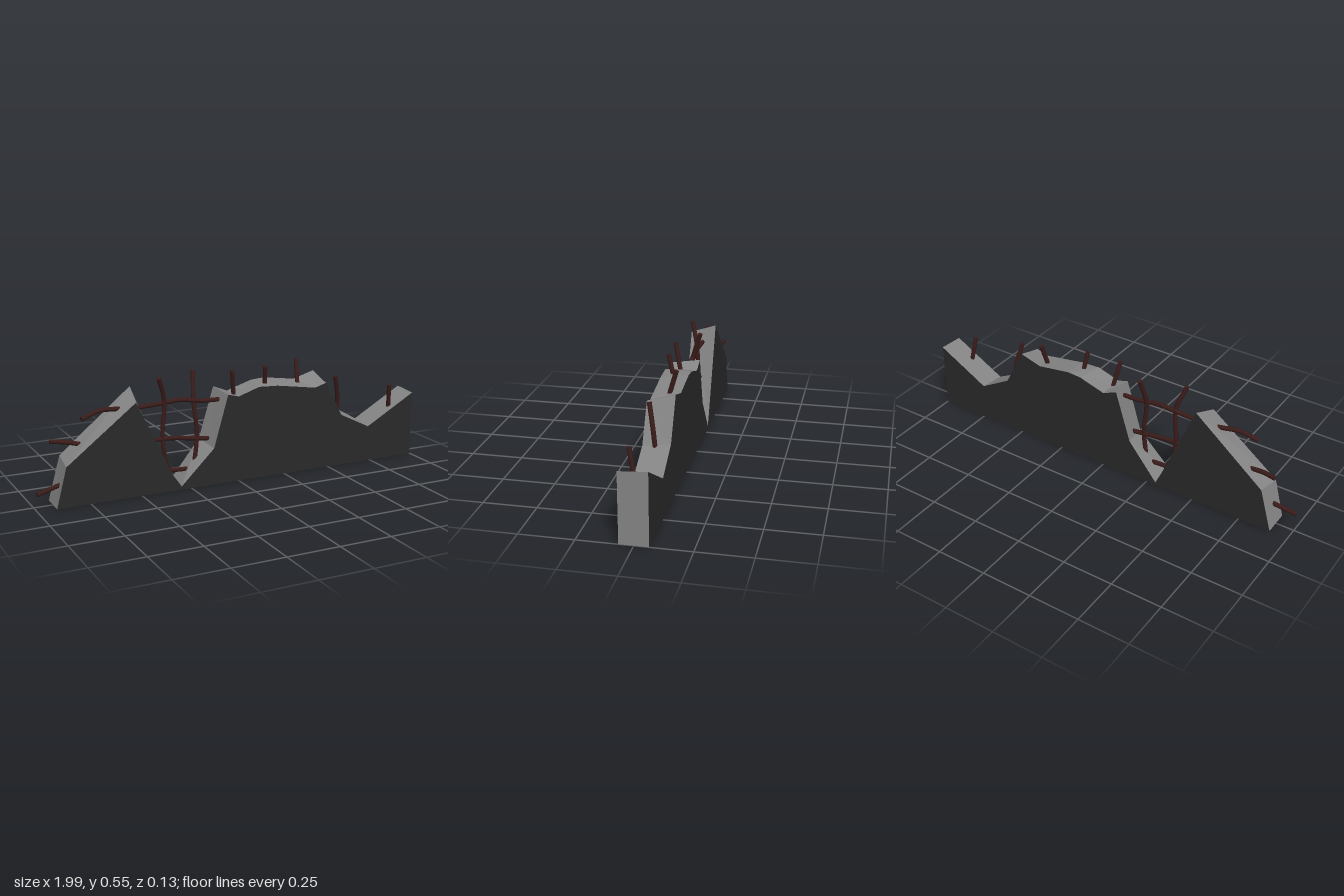
import * as THREE from 'three';

const HALF = 0.065;

// Broken outline of the wall on its front and back faces (same point count)
const FRONT = [[-0.91, 0], [-0.86, 0.19], [-0.52, 0.45], [-0.345, 0.08], [-0.3, 0.015], [-0.13, 0.18],
  [-0.055, 0.435], [0, 0.42], [0.11, 0.455], [0.21, 0.45], [0.42, 0.417], [0.48, 0.435],
  [0.575, 0.26], [0.735, 0.18], [1, 0.328], [1, 0]];
const BACK = [[-0.91, 0], [-0.85, 0.21], [-0.5, 0.497], [-0.33, 0.08], [-0.3, 0.015], [-0.15, 0.2],
  [-0.073, 0.45], [0, 0.42], [0.13, 0.46], [0.2, 0.465], [0.37, 0.44], [0.48, 0.472],
  [0.58, 0.28], [0.74, 0.19], [1, 0.336], [1, 0]];

// Reinforcing bars: lists of x, y, z points
const BARS = {
  meshBar: [
    [[-0.395, 0.545, 0.035], [-0.357, 0.425, 0.005], [-0.367, 0.25, 0], [-0.345, 0.1, 0], [-0.33, 0.075, 0]],
    [[-0.188, 0.545, -0.045], [-0.204, 0.41, -0.005], [-0.19, 0.24, 0], [-0.21, 0.07, 0]],
    [[-0.49, 0.408, 0], [-0.38, 0.414, 0], [-0.27, 0.42, 0], [-0.17, 0.404, 0], [-0.07, 0.4, 0]],
    [[-0.41, 0.242, 0], [-0.33, 0.24, 0], [-0.22, 0.226, 0], [-0.13, 0.214, 0]],
    [[-0.35, 0.082, 0], [-0.23, 0.076, 0]],
  ],
  sideBar: [
    [[-0.77, 0.395, 0.033], [-0.68, 0.42, 0.018], [-0.61, 0.416, 0.005], [-0.55, 0.408, 0]],
    [[-0.9, 0.287, -0.045], [-0.83, 0.28, -0.025], [-0.75, 0.262, -0.01]],
    [[-0.99, 0.07, 0.032], [-0.86, 0.1, 0.012]],
  ],
  topBar: [
    [[-0.026, 0.545, 0.045], [0, 0.4, 0.012]],
    [[0.155, 0.545, 0.038], [0.168, 0.43, 0.01]],
    [[0.371, 0.545, -0.045], [0.36, 0.42, -0.008]],
    [[0.55, 0.457, 0.037], [0.58, 0.34, 0.014], [0.58, 0.25, 0.005]],
    [[0.867, 0.38, 0.048], [0.885, 0.24, 0.02]],
  ],
};

function face(profile, z, material, name) {
  const geo = new THREE.ShapeGeometry(new THREE.Shape(profile.map(p => new THREE.Vector2(...p))));
  if (z < 0) geo.rotateY(Math.PI).scale(1, 1, 1);
  const mesh = new THREE.Mesh(geo, material);
  mesh.position.z = z;
  mesh.name = name;
  return mesh;
}

// Flat quads joining front and back outlines from point index a to b
function strip(a, b, material, name) {
  const pos = [];
  for (let i = a; i < b; i++) {
    const j = (i + 1) % FRONT.length;
    const f0 = [...FRONT[i], HALF], f1 = [...FRONT[j], HALF];
    const b0 = [...BACK[i], -HALF], b1 = [...BACK[j], -HALF];
    pos.push(...f0, ...f1, ...b1, ...f0, ...b1, ...b0);
  }
  const geo = new THREE.BufferGeometry();
  geo.setAttribute('position', new THREE.Float32BufferAttribute(pos, 3));
  geo.computeVertexNormals();
  const mesh = new THREE.Mesh(geo, material);
  mesh.name = name;
  return mesh;
}

// Round bar following straight segments, with closed ends
function bar(points, material, name) {
  const group = new THREE.Group();
  group.name = name;
  const pts = points.map(p => new THREE.Vector3(...p));
  const path = pts.length > 2 ? new THREE.CatmullRomCurve3(pts, false, 'centripetal') : new THREE.LineCurve3(pts[0], pts[1]);
  group.add(new THREE.Mesh(new THREE.TubeGeometry(path, (pts.length - 1) * 4, 0.011, 8), material));
  for (const t of [0, 1]) {
    const cap = new THREE.Mesh(new THREE.CircleGeometry(0.011, 8), material);
    const dir = path.getTangentAt(t).multiplyScalar(t ? 1 : -1);
    cap.position.copy(path.getPointAt(t));
    cap.quaternion.setFromUnitVectors(new THREE.Vector3(0, 0, 1), dir);
    group.add(cap);
  }
  return group;
}

export function createModel() {
  const model = new THREE.Group();
  model.name = 'brokenWall';
  const dark = new THREE.MeshStandardMaterial({ color: 0x2a2a2a, flatShading: true });
  const concrete = new THREE.MeshStandardMaterial({ color: 0x858585, flatShading: true });
  const rust = new THREE.MeshStandardMaterial({ color: 0x3a1c1a });

  // Wall faces; the back outline is mirrored so the half turn restores it
  model.add(face(FRONT, HALF, dark, 'frontFace'));
  model.add(face(BACK.map(([x, y]) => [-x, y]), -HALF, dark, 'backFace'));

  // Fractured edge and underside
  const last = FRONT.length - 1;
  model.add(strip(0, last, concrete, 'brokenEdge'));
  model.add(strip(last, last + 1, dark, 'underside'));

  // Exposed bars
  for (const [name, list] of Object.entries(BARS)) {
    list.forEach((points, i) => model.add(bar(points, rust, name + (i + 1))));
  }
  return model;
}
